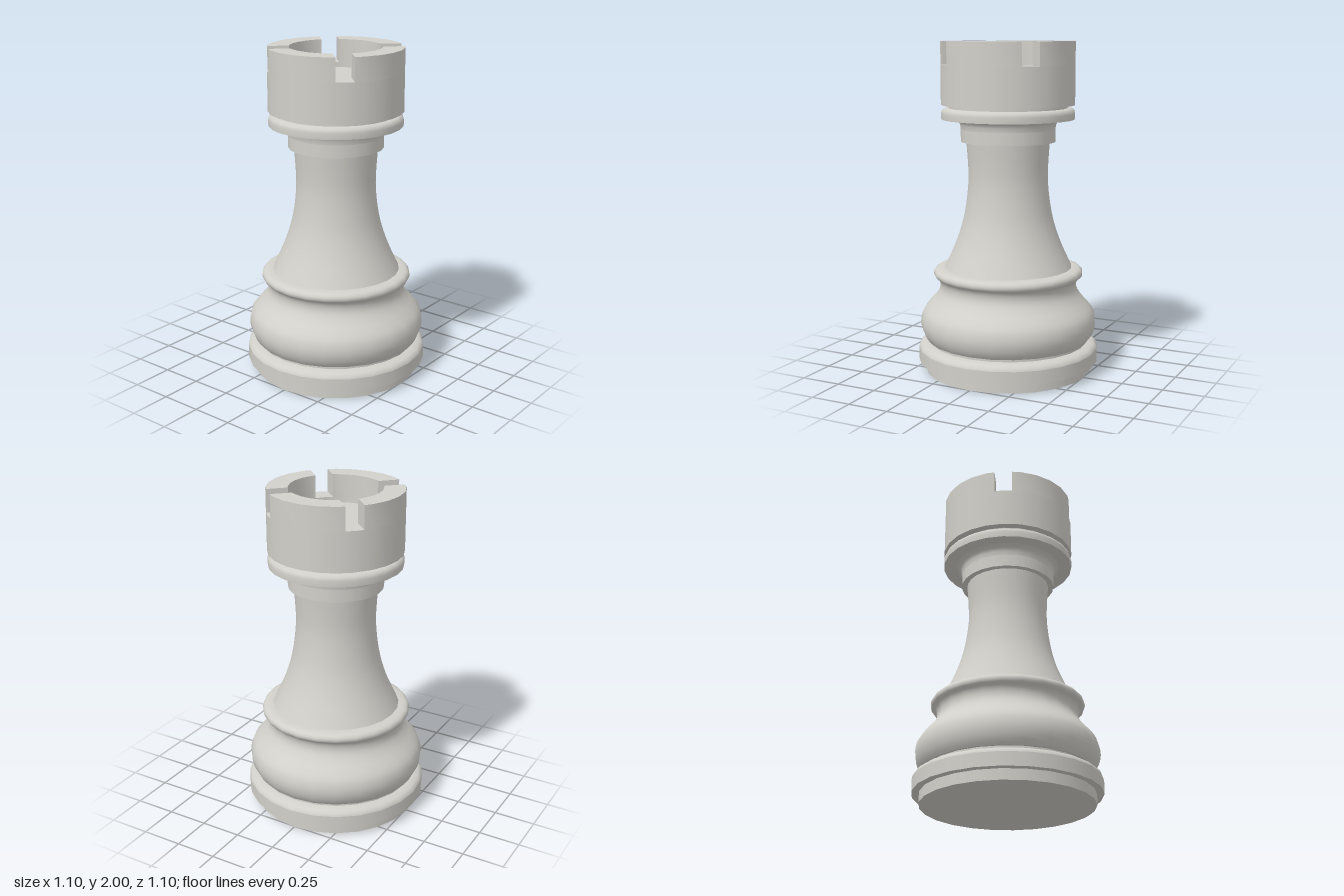
import * as THREE from 'three';
import { mergeGeometries, toCreasedNormals } from 'three/addons/utils/BufferGeometryUtils.js';

const SIDES = 24;

// Lathe each smooth run on its own, so edges between runs stay sharp.
function turned(runs) {
  return mergeGeometries(runs.map((run) =>
    new THREE.LatheGeometry(run.map(([r, y]) => new THREE.Vector2(r, y)), SIDES)));
}

// Split a profile into straight, hard-edged runs.
const hard = (pts) => pts.slice(1).map((p, i) => [pts[i], p]);

// Sample a soft curve through profile points.
function soft(pts, n) {
  const curve = new THREE.SplineCurve(pts.map(([r, y]) => new THREE.Vector2(r, y)));
  return curve.getPoints(n).map((p) => [p.x, p.y]);
}

// One quarter of the battlement, with parallel-sided gaps at the diagonals.
function merlonGeometry(outer, inner, gap, height) {
  const step = (Math.PI * 2) / SIDES;
  const arc = (r) => {
    const end = Math.PI / 4 - Math.asin(gap / 2 / r);
    return [-end, -2 * step, -step, 0, step, 2 * step, end].map((a) => {
      const off = Math.abs(a) % step;
      const onVertex = off < 1e-6 || step - off < 1e-6;
      const chord = onVertex ? r : r * Math.cos(step / 2) / Math.cos(off - step / 2);
      return new THREE.Vector2(chord * Math.cos(a), chord * Math.sin(a));
    });
  };
  const shape = new THREE.Shape([...arc(outer), ...arc(inner).reverse()]);
  const geo = new THREE.ExtrudeGeometry(shape, { depth: height, bevelEnabled: false });
  geo.rotateX(-Math.PI / 2);
  return toCreasedNormals(geo, 0.5);
}

export function createModel() {
  const model = new THREE.Group();
  model.name = 'rook';
  const stone = new THREE.MeshStandardMaterial({ color: 0xd2d0ca });
  stone.name = 'pale stone';

  const add = (name, geometry, parent = model) => {
    const mesh = new THREE.Mesh(geometry, stone);
    mesh.name = name;
    parent.add(mesh);
    return mesh;
  };

  // Foot and stepped plinth
  add('plinth', turned([
    ...hard([[0, 0], [0.507, 0], [0.507, 0.063], [0.55, 0.063], [0.55, 0.143]]),
    [[0.55, 0.143], [0.545, 0.158], [0.53, 0.17], [0.508, 0.177], [0.485, 0.18]],
    [[0.485, 0.18], [0.485, 0.198]],
  ]));

  // Swelling lower body with the rolled ring above it
  add('bulge', turned([
    [[0.48, 0.197], [0.497, 0.197]],
    soft([[0.497, 0.197], [0.522, 0.235], [0.537, 0.295], [0.526, 0.36], [0.49, 0.41],
      [0.45, 0.455], [0.422, 0.5], [0.417, 0.54], [0.428, 0.57], [0.45, 0.588],
      [0.455, 0.61], [0.442, 0.63], [0.415, 0.638], [0.388, 0.64]], 32),
  ]));

  // Tapering stem
  add('stem', turned([
    soft([[0.388, 0.64], [0.355, 0.71], [0.32, 0.79], [0.288, 0.88], [0.265, 0.97],
      [0.248, 1.08], [0.24, 1.19], [0.244, 1.3], [0.252, 1.405]], 20),
  ]));

  // Collar flaring up to the ring
  add('collar', turned([
    [[0.25, 1.405], [0.285, 1.405]],
    [[0.285, 1.405], [0.285, 1.48]],
    [[0.285, 1.48], [0.288, 1.505], [0.297, 1.525], [0.322, 1.54]],
  ]));

  // Round-topped ring under the crown
  add('neckRing', turned([
    [[0.31, 1.54], [0.4, 1.54]],
    [[0.4, 1.54], [0.402, 1.575], [0.396, 1.595], [0.38, 1.605], [0.357, 1.607]],
    [[0.357, 1.607], [0.357, 1.625]],
  ]));

  // Crown wall up to the gaps, and its sunken floor
  const crown = new THREE.Group();
  crown.name = 'crown';
  model.add(crown);
  add('crownWall', turned(hard([
    [0.35, 1.625], [0.402, 1.625], [0.402, 1.862], [0.275, 1.862], [0.275, 1.83], [0, 1.83],
  ])), crown);

  // Four battlements
  const merlon = merlonGeometry(0.402, 0.275, 0.108, 0.138);
  for (let i = 0; i < 4; i++) {
    const mesh = add('merlon', merlon, crown);
    mesh.position.y = 1.862;
    mesh.rotation.y = (i * Math.PI) / 2;
  }
  return model;
}
